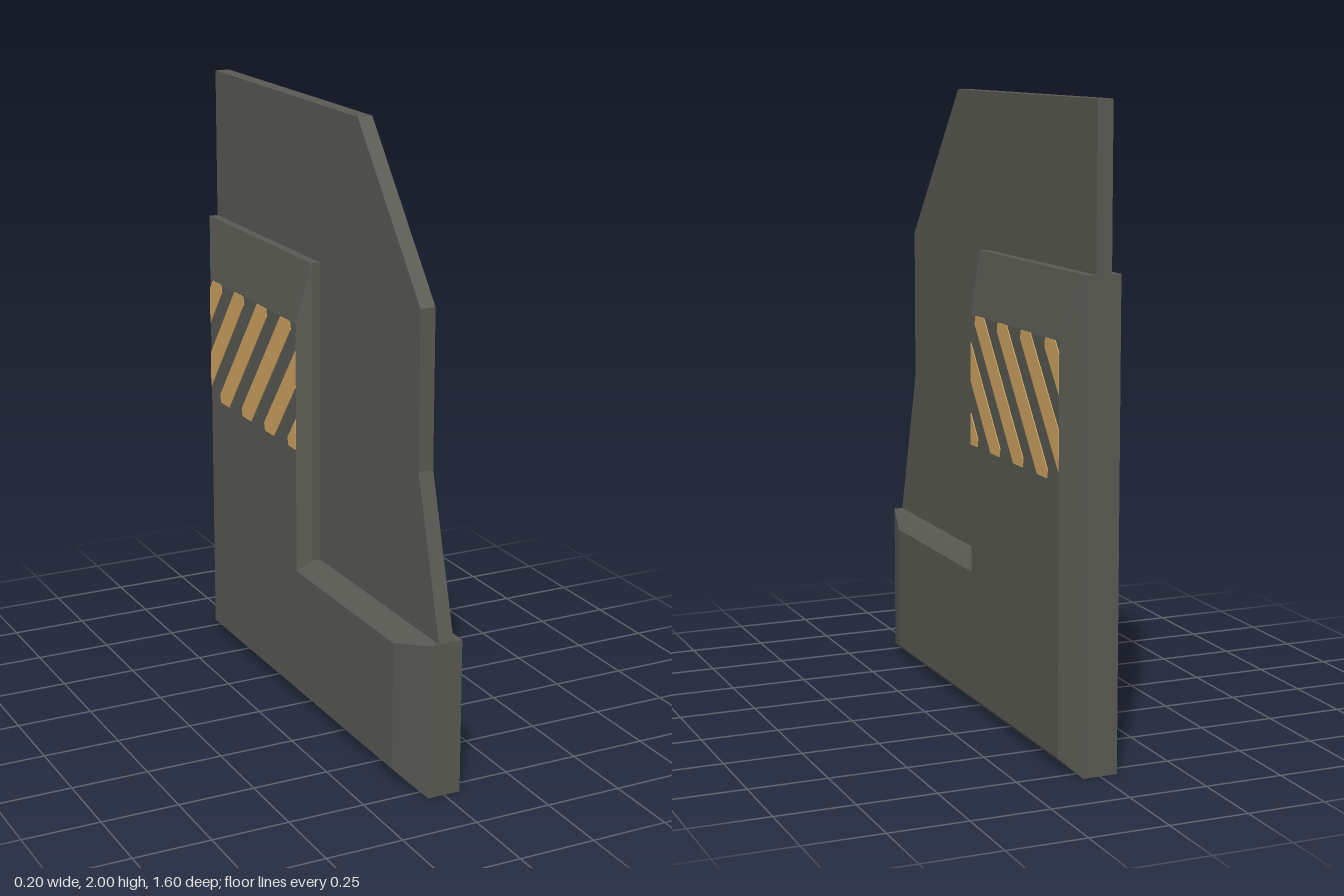
import * as THREE from 'three';

const grey = new THREE.MeshStandardMaterial({ color: 0x5a5a54 });
grey.name = 'dark grey';
const amber = new THREE.MeshStandardMaterial({ color: 0xd3a762 });
amber.name = 'amber';

// Extrudes a (z, y) outline along x, centred on the given x
function slab(points, thickness, x = 0) {
  const shape = new THREE.Shape(points.map(([z, y]) => new THREE.Vector2(z, y)));
  const geo = new THREE.ExtrudeGeometry(shape, { depth: thickness, bevelEnabled: false });
  geo.translate(0, 0, -thickness / 2);
  geo.rotateY(-Math.PI / 2);
  geo.translate(x, 0, 0);
  return geo;
}

// Joins (z, y) loops at successive x positions and closes both ends
function loft(sections) {
  const pos = [];
  const put = (s, i) => pos.push(s.x, s.loop[i][1], s.loop[i][0]);
  const n = sections[0].loop.length;
  for (let k = 0; k + 1 < sections.length; k++) {
    const a = sections[k], b = sections[k + 1];
    for (let i = 0; i < n; i++) {
      const j = (i + 1) % n;
      put(a, i); put(b, i); put(a, j);
      put(b, i); put(b, j); put(a, j);
    }
  }
  const first = sections[0], last = sections[sections.length - 1];
  const outline = first.loop.map(([z, y]) => new THREE.Vector2(z, y));
  for (const [a, b, c] of THREE.ShapeUtils.triangulateShape(outline, [])) {
    put(first, a); put(first, b); put(first, c);
    put(last, a); put(last, c); put(last, b);
  }
  const geo = new THREE.BufferGeometry();
  geo.setAttribute('position', new THREE.Float32BufferAttribute(pos, 3));
  geo.computeVertexNormals();
  return geo;
}

// Keeps the part of a polygon where sign * z <= sign * limit
function clipZ(points, limit, sign) {
  const out = [];
  points.forEach((p, i) => {
    const q = points[(i + 1) % points.length];
    const dp = sign * (limit - p[0]), dq = sign * (limit - q[0]);
    if (dp >= 0) out.push(p);
    if (dp * dq < 0) {
      const t = dp / (dp - dq);
      out.push([limit, p[1] + (q[1] - p[1]) * t]);
    }
  });
  return out;
}

export function createModel() {
  const group = new THREE.Group();
  const add = (geo, material, name) => {
    const mesh = new THREE.Mesh(geo, material);
    mesh.name = name;
    group.add(mesh);
  };

  // Thick L-shaped base with bevelled sides
  const rim = [[0.8, 0], [0.8, 0.5], [0, 0.5], [0, 1.5], [-0.8, 1.5], [-0.8, 0]];
  const face = [[0.645, 0.04], [0.645, 0.46], [-0.03, 0.46], [-0.03, 1.3], [-0.705, 1.3], [-0.705, 0.04]];
  add(loft([
    { x: -0.097, loop: face }, { x: -0.055, loop: rim },
    { x: 0.055, loop: rim }, { x: 0.097, loop: face },
  ]), grey, 'bevelledBase');

  // Thin panel rising out of the base
  add(slab([[0.8, 0.5], [0.66, 1], [0.66, 1.5], [0.255, 2], [-0.8, 2], [-0.8, 1.5], [0, 1.5], [0, 0.5]], 0.05),
    grey, 'upperPanel');

  // Slanted warning stripes on both sides, acute corners trimmed
  const top = 1.3, bottom = 0.88, width = 0.097, lean = 0.33;
  for (let k = -2; k <= 3; k++) {
    const z = -0.14 - 0.18 * k;
    const stripe = [
      [z, top], [z + width - 0.027, top], [z + width - 0.021, top - 0.027],
      [z + width - lean, bottom], [z - lean + 0.027, bottom], [z - lean + 0.021, bottom + 0.027],
    ];
    const visible = clipZ(clipZ(stripe, -0.03, 1), -0.705, -1);
    if (visible.length < 3) continue;
    for (const side of [-1, 1]) {
      add(slab(visible, 0.004, side * 0.0975), amber, side > 0 ? 'leftStripe' : 'rightStripe');
    }
  }
  return group;
}
